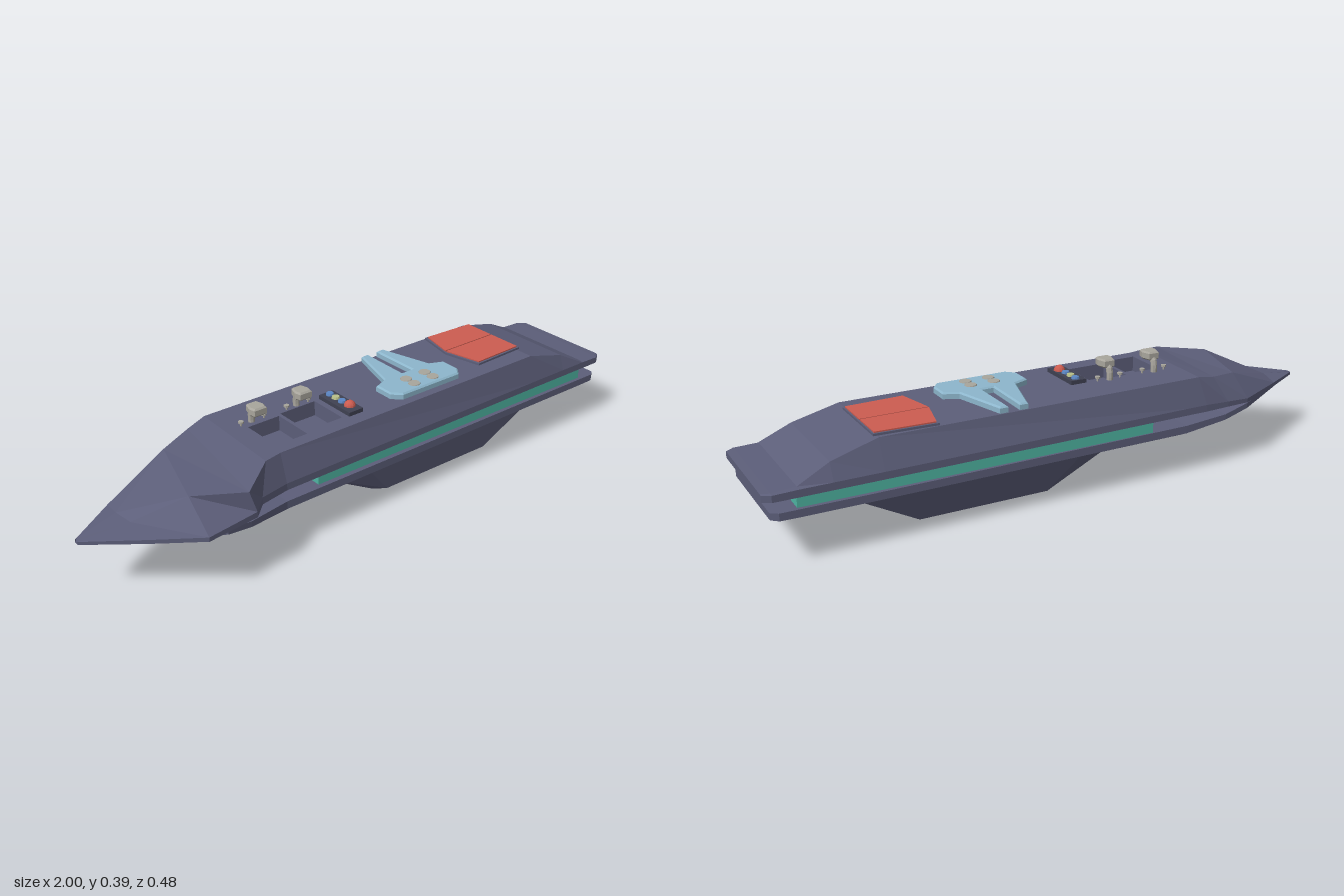
import * as THREE from 'three';

const mat = (color) => new THREE.MeshStandardMaterial({ color, flatShading: true });
const hull = mat(0x5c5e79), teal = mat(0x4fb5a3), red = mat(0xcc5c50), blue = mat(0x8db6cc);
const grey = mat(0xa8a59c), dark = mat(0x3f4152), navy = mat(0x5b86c4), yellow = mat(0xb9c08a);
const pitMat = hull.clone();
pitMat.side = THREE.BackSide;

const ROOF = 0.326;

function add(parent, name, geometry, material, x = 0, y = 0, z = 0) {
  const m = new THREE.Mesh(geometry, material);
  m.name = name;
  m.position.set(x, y, z);
  parent.add(m);
  return m;
}

// Skin over rings of [x, y, z]; rings run counter-clockwise seen from +x.
function loft(rings, skip = () => false) {
  const pos = [], n = rings[0].length;
  const tri = (a, b, c) => pos.push(...a, ...b, ...c);
  for (let i = 0; i < rings.length - 1; i++) {
    for (let j = 0; j < n; j++) {
      if (skip(i, j)) continue;
      const k = (j + 1) % n, p = rings[i], q = rings[i + 1];
      tri(p[j], p[k], q[k]);
      tri(p[j], q[k], q[j]);
    }
  }
  const first = rings[0], last = rings[rings.length - 1];
  for (let j = 1; j < n - 1; j++) {
    tri(first[0], first[j + 1], first[j]);
    tri(last[0], last[j], last[j + 1]);
  }
  const g = new THREE.BufferGeometry();
  g.setAttribute('position', new THREE.Float32BufferAttribute(pos, 3));
  g.computeVertexNormals();
  return g;
}

const outline = (pts) => new THREE.Shape(pts.map(([x, z]) => new THREE.Vector2(x, -z)));

// Flat plate from an x,z outline, rising from y = 0
function plate(pts, depth, bevel = 0) {
  return new THREE.ExtrudeGeometry(outline(pts), {
    depth, bevelEnabled: bevel > 0, bevelThickness: bevel, bevelSize: bevel,
    bevelOffset: -bevel, bevelSegments: 1,
  }).rotateX(-Math.PI / 2);
}

const rect = (x0, x1, z0, z1) => [[x0, z0], [x1, z0], [x1, z1], [x0, z1]];

// Upper ring: back rim [x,z], back roof, front roof, front rim [x,z], rim bottom and top
const upper = (b, rb, rf, f, y0, y1) => [
  [b[0], y0, b[1]], [b[0], y1, b[1]], rb, rf, [f[0], y1, f[1]], [f[0], y0, f[1]],
];
// Lower ring: belly back, back rim, front rim, belly front
const lower = (b, bb, bf, f, y0, y1) => [
  bb, [b[0], y0, b[1]], [b[0], y1, b[1]], [f[0], y1, f[1]], [f[0], y0, f[1]], bf,
];

export function createModel() {
  const model = new THREE.Group();
  model.name = 'hovercraft';

  // Upper hull with the slanted, lopsided bow
  const pits = [rect(-0.385, -0.27, -0.06, 0.085), rect(-0.258, -0.125, -0.07, 0.07)];
  add(model, 'upperHull', loft([
    upper([-1, -0.015], [-0.995, 0.205, -0.015], [-0.995, 0.205, 0], [-1, 0], 0.193, 0.203),
    upper([-0.85, -0.105], [-0.86, 0.225, -0.035], [-0.85, 0.222, 0.03], [-0.85, 0.128], 0.2, 0.213),
    upper([-0.65, -0.213], [-0.63, 0.298, -0.15], [-0.71, 0.295, 0.12], [-0.72, 0.235], 0.208, 0.222),
    upper([-0.56, -0.225], [-0.52, 0.312, -0.19], [-0.57, 0.3, 0.215], [-0.55, 0.222], 0.212, 0.23),
    upper([-0.47, -0.23], [-0.45, ROOF, -0.205], [-0.46, ROOF, 0.14], [-0.5, 0.175], 0.212, 0.235),
    upper([-0.4, -0.23], [-0.4, ROOF, -0.205], [-0.4, ROOF, 0.128], [-0.4, 0.157], 0.212, 0.235),
    upper([0.65, -0.243], [0.65, ROOF, -0.205], [0.65, ROOF, 0.128], [0.65, 0.15], 0.212, 0.235),
    upper([0.8, -0.244], [0.8, 0.287, -0.218], [0.8, 0.287, 0.132], [0.8, 0.15], 0.212, 0.235),
    upper([0.9, -0.245], [0.9, 0.239, -0.23], [0.9, 0.239, 0.138], [0.9, 0.15], 0.212, 0.235),
    upper([0.975, -0.245], [0.975, 0.236, -0.235], [0.975, 0.236, 0.138], [0.975, 0.15], 0.212, 0.233),
    upper([1, -0.228], [1, 0.234, -0.22], [1, 0.234, 0.125], [1, 0.133], 0.212, 0.232),
  ], (i, j) => i === 5 && j === 2), hull);

  // Middle deck with two sunken wells
  const deck = outline(rect(-0.4, 0.65, -0.205, 0.128));
  pits.forEach((p) => deck.holes.push(outline(p)));
  add(model, 'deck', new THREE.ShapeGeometry(deck).rotateX(-Math.PI / 2), hull, 0, ROOF);
  for (const [a, , c] of pits) {
    add(model, 'seatWell', new THREE.BoxGeometry(c[0] - a[0], 0.05, c[1] - a[1]), pitMat,
      (a[0] + c[0]) / 2, ROOF - 0.025, (a[1] + c[1]) / 2);
  }

  // Lower hull, rising to meet the bow
  add(model, 'lowerHull', loft([
    lower([-0.97, -0.02], [-0.97, 0.187, -0.02], [-0.97, 0.187, 0], [-0.97, 0], 0.188, 0.194),
    lower([-0.66, -0.2], [-0.66, 0.173, -0.16], [-0.64, 0.172, 0.16], [-0.64, 0.205], 0.182, 0.2),
    lower([-0.56, -0.215], [-0.55, 0.15, -0.17], [-0.55, 0.148, 0.14], [-0.55, 0.19], 0.163, 0.182),
    lower([-0.4, -0.22], [-0.42, 0.117, -0.16], [-0.42, 0.117, 0.09], [-0.4, 0.155], 0.146, 0.172),
    lower([0.68, -0.23], [0.68, 0.115, -0.16], [0.68, 0.115, 0.09], [0.68, 0.15], 0.146, 0.17),
    lower([0.9, -0.23], [0.88, 0.143, -0.21], [0.88, 0.143, 0.13], [0.9, 0.15], 0.146, 0.17),
    lower([0.955, -0.23], [0.955, 0.146, -0.22], [0.955, 0.146, 0.14], [0.955, 0.15], 0.147, 0.17),
    lower([0.977, -0.215], [0.977, 0.148, -0.2], [0.977, 0.148, 0.12], [0.977, 0.135], 0.149, 0.17),
  ]), hull);

  // Glowing band between the hull halves
  add(model, 'glowBand', plate([[-0.27, -0.217], [0.9, -0.217], [0.9, 0.137], [-0.27, 0.137]], 0.05),
    teal, 0, 0.165);

  // Tapered keel with chamfered ends
  const keelRing = (x, hi, lo) => [
    [x[0], 0.12, hi[0]], [x[0], 0.12, hi[1]], [x[1], 0, lo[1]], [x[1], 0, lo[0]],
  ];
  add(model, 'keel', loft([
    keelRing([-0.2, 0.02], [-0.11, 0.04], [-0.09, 0.045]),
    keelRing([-0.04, 0.06], [-0.16, 0.09], [-0.115, 0.072]),
    keelRing([0.7, 0.5], [-0.16, 0.09], [-0.115, 0.072]),
  ]), hull);

  // Control levers: bent post, hooked head and two side knobs
  for (const x of [-0.355, -0.185]) {
    const lever = new THREE.Group();
    lever.name = 'lever';
    lever.position.set(x, ROOF, -0.085);
    const post = new THREE.CatmullRomCurve3([
      new THREE.Vector3(0, -0.02, 0), new THREE.Vector3(0, 0.025, 0),
      new THREE.Vector3(0, 0.045, 0.008), new THREE.Vector3(0, 0.055, 0.025),
    ]);
    add(lever, 'leverPost', new THREE.TubeGeometry(post, 6, 0.011, 8), grey);
    add(lever, 'leverHead', plate(
      [[-0.018, 0], [0.018, 0], [0.027, 0.03], [0.022, 0.053], [-0.022, 0.053], [-0.027, 0.03]],
      0.018, 0.005), grey, 0, 0.044);
    for (const s of [-1, 1]) {
      add(lever, 'sideKnobStem', new THREE.CylinderGeometry(0.003, 0.003, 0.014, 6), grey, s * 0.042, 0.005, 0.005);
      add(lever, 'sideKnob', new THREE.CylinderGeometry(0.009, 0.009, 0.006, 8), grey, s * 0.042, 0.013, 0.005);
    }
    model.add(lever);
  }

  // Button panel
  add(model, 'buttonPanel', new THREE.BoxGeometry(0.055, 0.014, 0.155), dark, -0.077, ROOF + 0.006, 0.003);
  [[-0.055, navy], [-0.025, yellow], [0.007, navy]].forEach(([z, m]) =>
    add(model, 'button', new THREE.CylinderGeometry(0.012, 0.014, 0.008, 10), m, -0.075, ROOF + 0.016, z));
  add(model, 'redButton', new THREE.SphereGeometry(0.019, 12, 5, 0, Math.PI * 2, 0, Math.PI / 2),
    red, -0.072, ROOF + 0.012, 0.042);

  // Two-pronged blue deck fitting with four studs
  add(model, 'prongedPlate', plate([
    [0.07, 0], [0.12, -0.02], [0.172, -0.2], [0.2, -0.2], [0.198, -0.02], [0.24, -0.02],
    [0.238, -0.2], [0.266, -0.2], [0.315, -0.02], [0.362, 0], [0.362, 0.07], [0.34, 0.098],
    [0.1, 0.098], [0.07, 0.07],
  ], 0.016, 0.005), blue, 0, ROOF);
  for (const x of [0.175, 0.255]) {
    for (const z of [0.025, 0.065]) {
      add(model, 'stud', new THREE.CylinderGeometry(0.019, 0.022, 0.008, 12), grey, x, ROOF + 0.02, z);
    }
  }

  // Red hatch in a dark frame, split by a seam
  add(model, 'hatchFrame', plate(
    [[0.46, -0.2], [0.66, -0.19], [0.66, 0.062], [0.46, 0.07], [0.432, -0.065]], 0.007), hull, 0, ROOF);
  add(model, 'hatchRear', plate(
    [[0.467, -0.193], [0.655, -0.184], [0.655, -0.071], [0.438, -0.071]], 0.011), red, 0, ROOF);
  add(model, 'hatchFront', plate(
    [[0.438, -0.067], [0.655, -0.067], [0.655, 0.056], [0.467, 0.063]], 0.011), red, 0, ROOF);

  return model;
}
